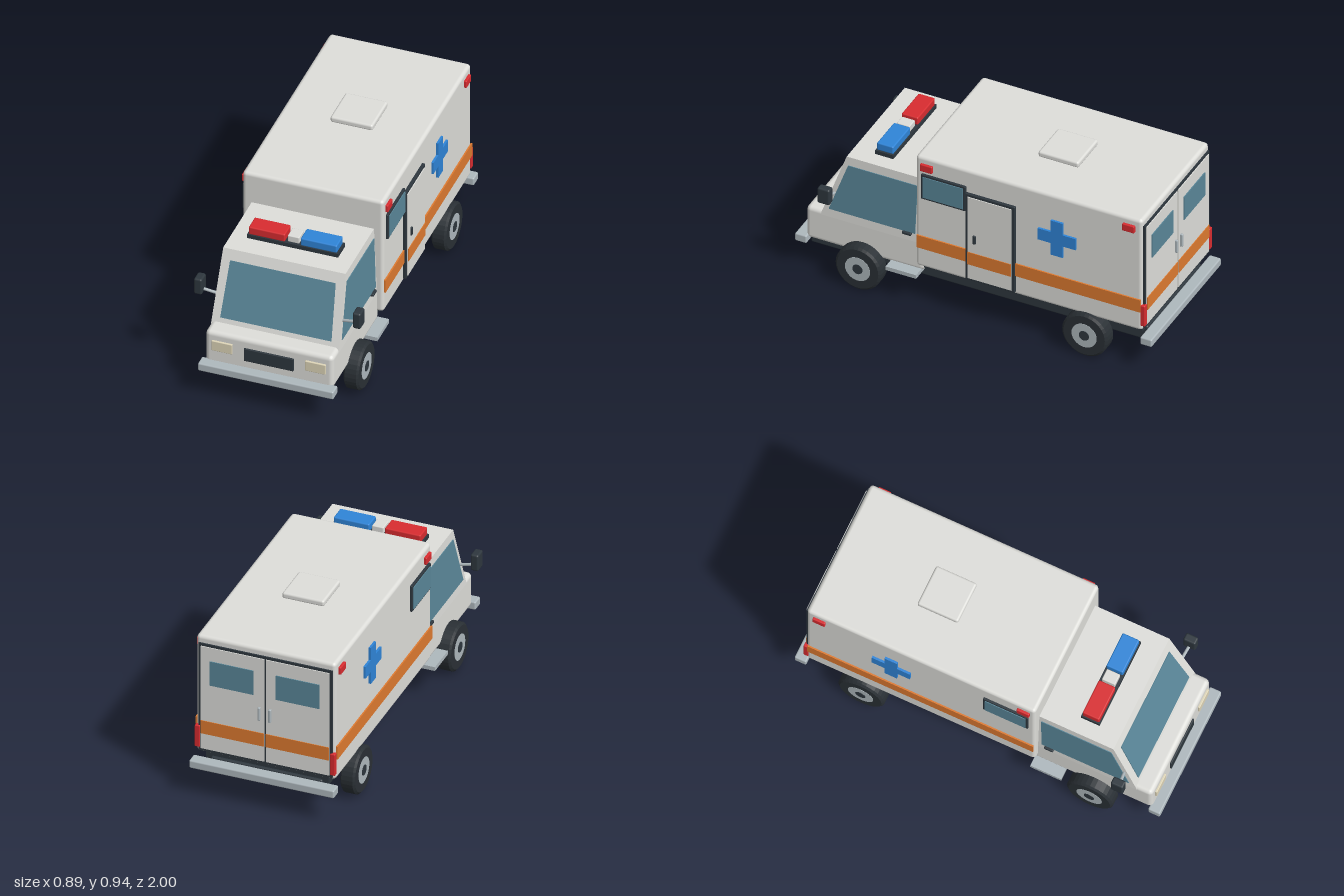
import * as THREE from 'three';
import { RoundedBoxGeometry } from 'three/addons/geometries/RoundedBoxGeometry.js';
import { ConvexGeometry } from 'three/addons/geometries/ConvexGeometry.js';

const material = (name, color) => {
  const m = new THREE.MeshStandardMaterial({ color });
  m.name = name;
  return m;
};

export function createModel() {
  const white = material('bodyWhite', 0xdededa);
  const dark = material('darkTrim', 0x2e373e);
  const glass = material('glass', 0x5a8799);
  const orange = material('orange', 0xde7a30);
  const blue = material('blue', 0x2f85d8);
  const red = material('red', 0xd92c30);
  const metal = material('metalGrey', 0xaeb8bd);
  const beige = material('headlightCream', 0xded5b8);
  const tyreMat = material('tyre', 0x2a3035);

  const model = new THREE.Group();
  model.name = 'ambulance';
  const add = (name, geometry, mat) => {
    const mesh = new THREE.Mesh(geometry, mat);
    mesh.name = name;
    model.add(mesh);
    return mesh;
  };
  // Box given by its extents; r rounds the edges
  const box = (name, mat, [x0, x1], [y0, y1], [z0, z1], r = 0) => {
    const s = [x1 - x0, y1 - y0, z1 - z0];
    const mesh = add(name, r ? new RoundedBoxGeometry(...s, 2, r) : new THREE.BoxGeometry(...s), mat);
    mesh.position.set((x0 + x1) / 2, (y0 + y1) / 2, (z0 + z1) / 2);
    return mesh;
  };
  // Box beside the centre plane: side +1 is the model's left
  const sideBox = (side, name, mat, [a, b], y, z, r) =>
    box(name, mat, side > 0 ? [a, b] : [-b, -a], y, z, r);
  const hull = (name, mat, pts) =>
    add(name, new ConvexGeometry(pts.map((p) => new THREE.Vector3(...p))), mat);

  // Chassis and bumpers
  box('chassis', dark, [-0.3, 0.3], [0.13, 0.215], [-0.935, 0.94], 0.01);
  box('floor', dark, [-0.33, 0.33], [0.2, 0.25], [-0.92, 0.32]);
  box('frontBumper', metal, [-0.36, 0.36], [0.157, 0.203], [0.935, 1], 0.008);
  box('rearBumper', metal, [-0.39, 0.39], [0.165, 0.21], [-1, -0.935], 0.008);

  // Patient compartment
  box('rearBody', white, [-0.375, 0.375], [0.235, 0.915], [-0.94, 0.32], 0.02);
  box('roofHatch', white, [-0.113, 0.113], [0.91, 0.945], [-0.455, -0.23], 0.012);

  // Cab: bonnet box below, tapered cabin above
  box('lowerCab', white, [-0.34, 0.34], [0.18, 0.375], [0.29, 0.948], 0.025);
  const cabX = (y) => 0.34 - (y - 0.36) * 0.04;
  const cabZ = (y) => 0.863 - (y - 0.36) * 0.355;
  const cabin = [];
  for (const y of [0.35, 0.74])
    for (const s of [-1, 1]) cabin.push([s * cabX(y), y, cabZ(y)], [s * cabX(y), y, 0.3]);
  hull('upperCab', white, cabin);

  // Windscreen
  const screen = [];
  for (const [x, y] of [[0.295, 0.4], [0.28, 0.685]])
    for (const s of [-1, 1])
      for (const o of [-0.002, 0.004]) screen.push([s * x, y + o * 0.35, cabZ(y) + o]);
  hull('windscreen', glass, screen);

  // Front face
  box('grille', dark, [-0.132, 0.132], [0.245, 0.32], [0.94, 0.957], 0.004);

  // Beacon bar
  box('beaconBase', dark, [-0.242, 0.242], [0.738, 0.762], [0.51, 0.612]);
  box('redBeacon', red, [-0.236, -0.043], [0.76, 0.805], [0.515, 0.607], 0.007);
  box('centreBeacon', white, [-0.032, 0.03], [0.76, 0.798], [0.525, 0.597], 0.005);
  box('blueBeacon', blue, [0.04, 0.233], [0.76, 0.805], [0.515, 0.607], 0.007);

  for (const s of [-1, 1]) {
    // Cab side: window, handle, step, mirror
    const pane = [];
    for (const [z, y] of [[0.82, 0.4], [0.718, 0.69], [0.332, 0.69], [0.34, 0.4]])
      for (const o of [-0.002, 0.004]) pane.push([s * (cabX(y) + o), y, z]);
    hull('cabSideWindow', glass, pane);
    sideBox(s, 'cabDoorHandle', dark, [0.335, 0.355], [0.386, 0.402], [0.358, 0.408], 0.005);
    sideBox(s, 'cabStep', metal, [0.28, 0.4], [0.172, 0.194], [0.305, 0.475]);
    sideBox(s, 'mirror', dark, [0.4, 0.443], [0.497, 0.59], [0.767, 0.835], 0.01);
    const arm = new THREE.LineCurve3(new THREE.Vector3(s * 0.31, 0.497, 0.79), new THREE.Vector3(s * 0.41, 0.517, 0.8));
    add('mirrorArm', new THREE.TubeGeometry(arm, 1, 0.008, 8), metal);
    sideBox(s, 'headlight', beige, [0.193, 0.303], [0.268, 0.327], [0.94, 0.958], 0.004);

    // Body side: stripe, window, markers, cross
    sideBox(s, 'sideStripe', orange, [0.374, 0.383], [0.355, 0.43], [-0.932, 0.312]);
    sideBox(s, 'sideWindowFrame', dark, [0.37, 0.387], [0.665, 0.815], [0.038, 0.285], 0.004);
    sideBox(s, 'sideWindow', glass, [0.383, 0.391], [0.677, 0.803], [0.05, 0.273]);
    for (const z of [0.257, -0.868])
      sideBox(s, 'markerLight', red, [0.37, 0.389], [0.834, 0.876], [z - 0.034, z + 0.034], 0.005);
    const cross = new THREE.Shape();
    const a = 0.105, b = 0.034;
    cross.setFromPoints([[-b, -a], [b, -a], [b, -b], [a, -b], [a, b], [b, b], [b, a], [-b, a], [-b, b], [-a, b], [-a, -b], [-b, -b]]
      .map((p) => new THREE.Vector2(...p)));
    const plate = add('sideCross', new THREE.ExtrudeGeometry(cross, { depth: 0.012, bevelEnabled: false }), blue);
    plate.rotation.y = s * Math.PI / 2;
    plate.position.set(s * 0.375, 0.66, -0.47);

    // Rear door leaf
    sideBox(s, 'rearDoor', white, [0.005, 0.346], [0.265, 0.862], [-0.953, -0.94]);
    sideBox(s, 'rearDoorStripe', orange, [0.006, 0.345], [0.355, 0.43], [-0.957, -0.952]);
    sideBox(s, 'rearWindow', glass, [0.06, 0.295], [0.645, 0.785], [-0.958, -0.951]);
    sideBox(s, 'rearDoorHandle', metal, [0.022, 0.036], [0.505, 0.58], [-0.967, -0.95], 0.004);
    sideBox(s, 'tailLight', red, [0.35, 0.378], [0.27, 0.395], [-0.956, -0.93], 0.005);

    // Wheels
    const tyreProfile = [[0.03, -0.04], [0.115, -0.04], [0.127, -0.03], [0.127, 0.03], [0.115, 0.04], [0.03, 0.04]]
      .map((p) => new THREE.Vector2(...p));
    for (const z of [0.63, -0.63]) {
      const wheel = new THREE.Group();
      wheel.name = 'wheel';
      const parts = [
        ['tyre', new THREE.LatheGeometry(tyreProfile, 32), tyreMat],
        ['rim', new THREE.CylinderGeometry(0.07, 0.07, 0.083, 28), metal],
        ['hubCap', new THREE.CylinderGeometry(0.028, 0.028, 0.088, 20), dark],
      ];
      for (const [name, geometry, mat] of parts) {
        const mesh = new THREE.Mesh(geometry.index && name === 'tyre' ? geometry.toNonIndexed() : geometry, mat);
        if (name === 'tyre') mesh.geometry.computeVertexNormals();
        mesh.name = name;
        wheel.add(mesh);
      }
      wheel.rotation.z = -s * Math.PI / 2;
      wheel.position.set(s * 0.36, 0.127, z);
      model.add(wheel);
    }
  }

  // Rear door surround
  box('rearDoorFrame', dark, [-0.36, 0.36], [0.25, 0.876], [-0.948, -0.93]);

  // Sliding door on the left side
  box('slidingDoorFrame', dark, [0.37, 0.39], [0.253, 0.78], [-0.238, 0.037], 0.004);
  box('slidingDoor', white, [0.38, 0.395], [0.267, 0.765], [-0.222, 0.022]);
  box('slidingDoorStripe', orange, [0.394, 0.399], [0.355, 0.43], [-0.221, 0.021]);
  box('slidingDoorHandle', dark, [0.39, 0.404], [0.49, 0.54], [-0.025, -0.01], 0.004);

  return model;
}
